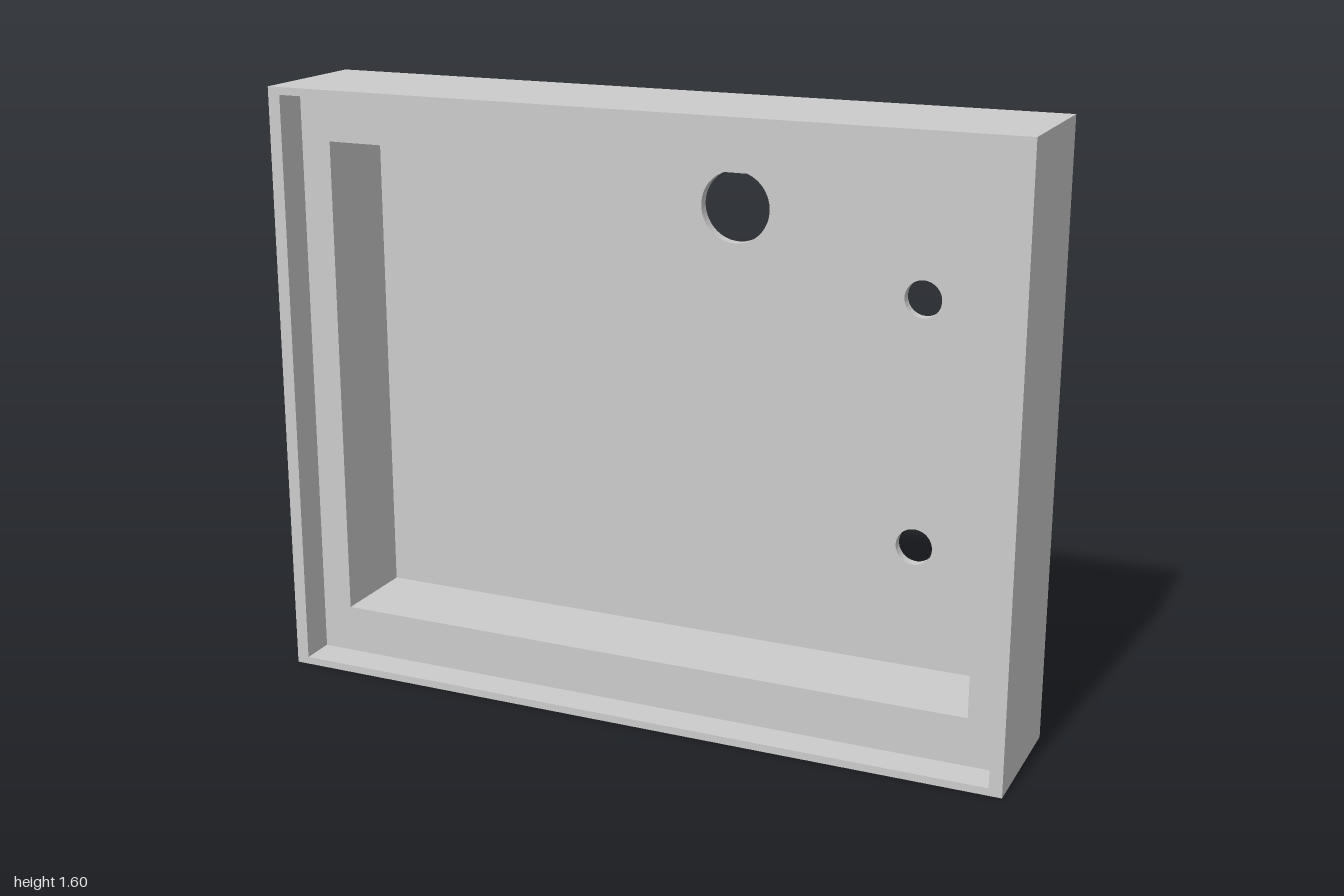
import * as THREE from 'three';
import { toCreasedNormals } from 'three/addons/utils/BufferGeometryUtils.js';

const W = 2, H = 1.596, BACK = -0.185, FRONT = 0.185;
const FLOOR = -0.156, LEDGE = 0.091; // z of the tray floor and of the stepped ledge

// Rectangle centred on the panel
function rect(path, w, h) {
  const x = w / 2, y0 = (H - h) / 2, y1 = (H + h) / 2;
  return path.moveTo(-x, y0).lineTo(x, y0).lineTo(x, y1).lineTo(-x, y1).closePath();
}

function circle(x, y, r) {
  return new THREE.Path().absarc(x, y, r, 0, Math.PI * 2, true);
}

export function createModel() {
  const group = new THREE.Group();
  group.name = 'enclosure';
  const material = new THREE.MeshStandardMaterial({ color: 0xcccccc });

  // Full-size slab from z0 to z1 with openings cut through it
  function addLayer(name, z0, z1, holes) {
    const shape = rect(new THREE.Shape(), W, H);
    shape.holes.push(...holes);
    const geometry = new THREE.ExtrudeGeometry(shape, {
      depth: z1 - z0, bevelEnabled: false, curveSegments: 64,
    });
    geometry.translate(0, 0, z0);
    const mesh = new THREE.Mesh(toCreasedNormals(geometry, 0.5), material);
    mesh.name = name;
    group.add(mesh);
  }

  // Back panel with one cable hole and two screw holes
  addLayer('backPanel', BACK, FLOOR, [
    circle(0.156, 1.313, 0.093),
    circle(0.656, 1.123, 0.048),
    circle(0.656, 0.475, 0.048),
  ]);

  // Thick walls around the cavity, ending in a ledge
  addLayer('cavityWalls', FLOOR, LEDGE, [rect(new THREE.Path(), 1.764, 1.3)]);

  // Thin rim around the cover recess
  addLayer('frontRim', LEDGE, FRONT, [rect(new THREE.Path(), 1.932, 1.556)]);

  return group;
}
